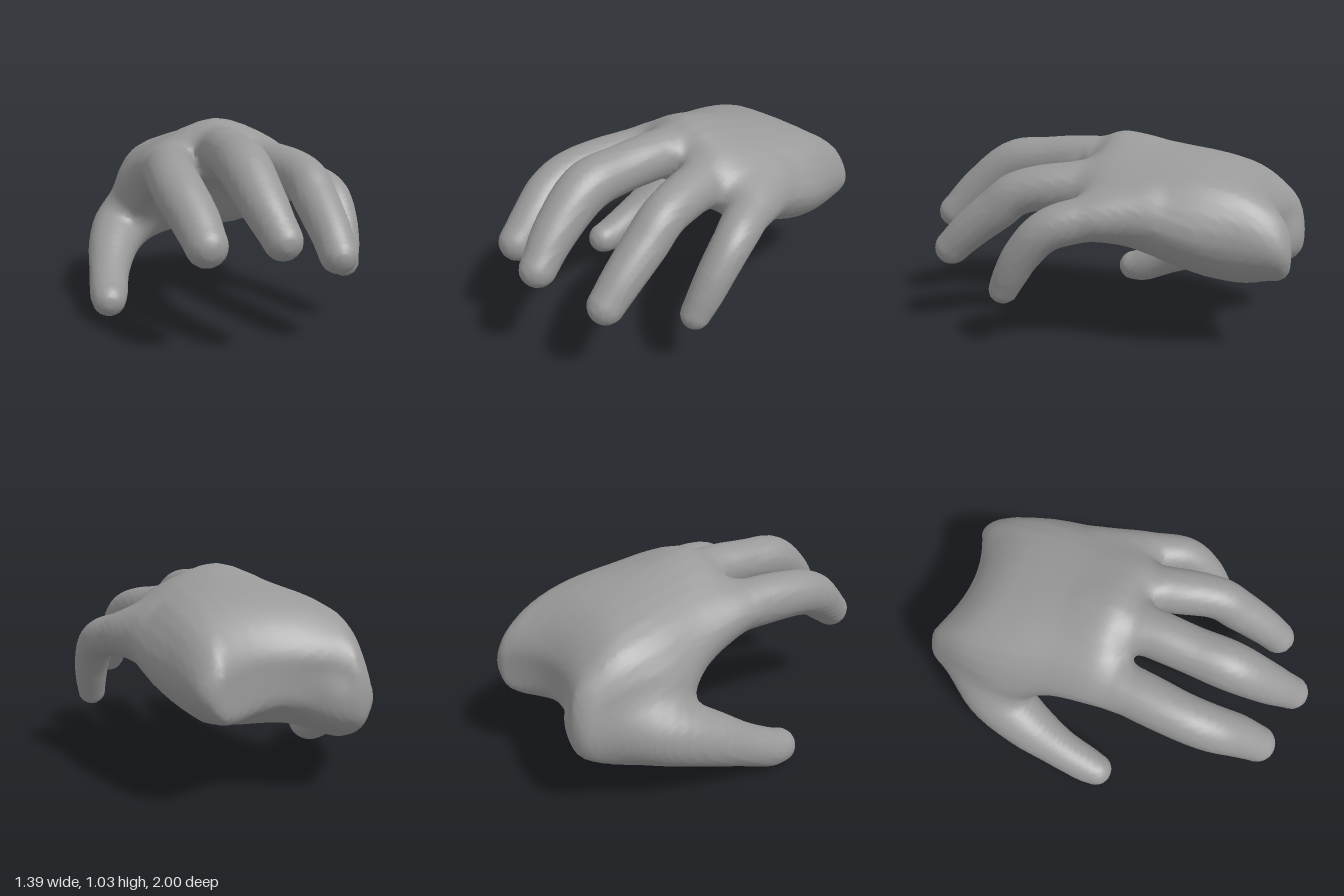
import * as THREE from 'three';

const V = (x, y, z) => new THREE.Vector3(x, y, z);

// Palm: z, then x,y around the section from little-finger edge over the back of the hand
const palmSections = [
  [-1.00, .40, .53, .32, .64, 0, .69, -.31, .63, -.40, .48, -.35, .36, 0, .44, .30, .40],
  [-0.90, .44, .55, .36, .73, 0, .80, -.35, .72, -.43, .50, -.38, .30, -.04, .39, .31, .39],
  [-0.75, .48, .58, .38, .81, 0, .88, -.37, .81, -.48, .53, -.42, .26, -.10, .32, .34, .38],
  [-0.55, .53, .61, .39, .86, 0, .94, -.37, .85, -.52, .55, -.46, .29, -.12, .42, .36, .41],
  [-0.30, .55, .68, .37, .89, 0, .99, -.33, .88, -.45, .71, -.38, .54, -.04, .63, .42, .51],
  [-0.07, .57, .68, .31, .92, 0, 1.03, -.32, .89, -.43, .77, -.35, .64, 0, .70, .42, .58],
  [0.06, .38, .74, .30, .85, 0, .94, -.33, .84, -.40, .77, -.32, .70, 0, .72, .30, .69],
];

// Digits: joints as x, y, z, radius from root to tip
const digits = {
  thumb: [[-.28, .46, -.86, .12], [-.43, .40, -.63, .17], [-.525, .31, -.42, .145],
    [-.577, .195, -.2, .112], [-.598, .11, -.03, .101], [-.605, .092, .045, .09]],
  index: [[-.26, .76, -.2, .09], [-.29, .77, .1, .127], [-.32, .755, .4, .123],
    [-.31, .70, .57, .12], [-.275, .61, .70, .112], [-.25, .515, .82, .098]],
  middle: [[0, .87, -.2, .1], [0, .872, .1, .124], [-.01, .855, .35, .122],
    [-.008, .82, .56, .127], [.025, .68, .76, .11], [.07, .54, .905, .09]],
  ring: [[.2, .80, -.2, .09], [.28, .785, .1, .12], [.35, .75, .36, .112],
    [.37, .65, .5, .11], [.385, .53, .65, .1], [.39, .43, .755, .09]],
  little: [[.4, .72, -.3, .1], [.53, .67, 0, .108], [.588, .62, .14, .1],
    [.598, .505, .25, .093], [.592, .395, .32, .085], [.58, .305, .37, .075]],
};

// Smooth union of two distances
function blend(a, b, k) {
  const h = Math.max(k - Math.abs(a - b), 0) / k;
  return Math.min(a, b) - h * h * k / 4;
}

// Smooth rings of the palm, each an outline of [x, y]
const lengthwise = Array.from({ length: 8 }, (_, k) => new THREE.CatmullRomCurve3(
  palmSections.map(s => V(s[1 + 2 * k], s[2 + 2 * k], s[0])), false, 'catmullrom', .5));
const palmRings = Array.from({ length: 31 }, (_, i) => {
  const points = lengthwise.map(l => l.getPoint(i / 30));
  const outline = new THREE.CatmullRomCurve3(points, true, 'centripetal').getPoints(32).slice(0, 32);
  return { z: points[0].z, outline: outline.map(p => [p.x, p.y]) };
});

// Signed distance to a closed outline
function outlineDistance(pts, x, y) {
  let d = Infinity, inside = false;
  for (let i = 0, j = pts.length - 1; i < pts.length; j = i++) {
    const [ax, ay] = pts[i], [bx, by] = pts[j];
    const ex = bx - ax, ey = by - ay, wx = x - ax, wy = y - ay;
    const t = Math.min(1, Math.max(0, (wx * ex + wy * ey) / (ex * ex + ey * ey)));
    d = Math.min(d, (wx - ex * t) ** 2 + (wy - ey * t) ** 2);
    if ((ay > y) !== (by > y) && x < ex * (y - ay) / ey + ax) inside = !inside;
  }
  return inside ? -Math.sqrt(d) : Math.sqrt(d);
}

function palmDistance(x, y, z) {
  // The wrist end is hollowed between its two corners
  z -= .1 * THREE.MathUtils.smoothstep(-z, .6, .88) * Math.max(0, 1 - (x / .32) ** 2);
  let i = 0;
  while (i < palmRings.length - 2 && palmRings[i + 1].z < z) i++;
  const a = palmRings[i], b = palmRings[i + 1];
  const t = Math.min(1, Math.max(0, (z - a.z) / (b.z - a.z)));
  const side = (1 - t) * outlineDistance(a.outline, x, y) + t * outlineDistance(b.outline, x, y);
  const ends = Math.max(-.995 - z, z - .07);
  return -blend(-side, -ends, .06);
}

// Short tapered links along each digit
const steps = 26;
const links = Object.values(digits).flatMap(joints => {
  const path = new THREE.CatmullRomCurve3(joints.map(j => V(j[0], j[1], j[2])), false, 'catmullrom', .5);
  const radii = new THREE.SplineCurve(joints.map((j, i) => new THREE.Vector2(i, j[3])));
  return Array.from({ length: steps }, (_, i) => {
    const u = i / steps, v = (i + 1) / steps;
    const a = path.getPoint(u), d = path.getPoint(v).sub(a);
    return { a, d, len: d.lengthSq(), ra: radii.getPoint(u).y, rb: radii.getPoint(v).y };
  });
});

function digitDistance(x, y, z) {
  let best = Infinity;
  for (const { a, d, len, ra, rb } of links) {
    const wx = x - a.x, wy = y - a.y, wz = z - a.z;
    const t = Math.min(1, Math.max(0, (wx * d.x + wy * d.y + wz * d.z) / len));
    const gap = Math.sqrt((wx - d.x * t) ** 2 + (wy - d.y * t) ** 2 + (wz - d.z * t) ** 2);
    best = Math.min(best, gap - ra - (rb - ra) * t);
  }
  return best;
}

// One continuous skin drawn over a grid where the distance changes sign
function skinGeometry(distance, min, size, step) {
  const n = size.map(s => Math.ceil(s / step)), stride = [1, n[0], n[0] * n[1]];
  const at = (i, j, k) => i + j * stride[1] + k * stride[2];
  const field = new Float32Array(n[0] * n[1] * n[2]), cell = new Int32Array(field.length);
  const each = (from, fn) => {
    for (let k = from; k < n[2] - 1; k++) for (let j = from; j < n[1] - 1; j++)
      for (let i = from; i < n[0] - 1; i++) fn([i, j, k], at(i, j, k));
  };
  field.fill(1);
  each(0, (c, g) => { field[g] = distance(...c.map((v, a) => min[a] + v * step)); });
  const pos = [], index = [];
  // One point in each cell, at the mean of its edge crossings
  each(0, (c, g) => {
    const sum = [0, 0, 0];
    let hits = 0;
    for (let a = 0; a < 3; a++) for (let m = 0; m < 4; m++) {
      const u = (a + 1) % 3, v = (a + 2) % 3, o = [0, 0, 0];
      o[u] = m & 1;
      o[v] = m >> 1;
      const p = g + at(...o), f0 = field[p], f1 = field[p + stride[a]];
      if ((f0 < 0) === (f1 < 0)) continue;
      o[a] = f0 / (f0 - f1);
      o.forEach((w, q) => { sum[q] += w; });
      hits++;
    }
    if (!hits) return;
    cell[g] = pos.length / 3;
    pos.push(...c.map((v, a) => min[a] + (v + sum[a] / hits) * step));
  });
  // One quad across each crossed grid edge
  each(1, (c, g) => {
    for (let a = 0; a < 3; a++) {
      const su = stride[(a + 1) % 3], sv = stride[(a + 2) % 3], inside = field[g] < 0;
      if (inside === (field[g + stride[a]] < 0)) continue;
      const [p, q, r, s] = [g, g - su, g - su - sv, g - sv].map(k => cell[k]);
      index.push(...(inside ? [p, q, r, p, r, s] : [p, r, q, p, s, r]));
    }
  });
  const geometry = new THREE.BufferGeometry();
  geometry.setAttribute('position', new THREE.Float32BufferAttribute(pos, 3));
  geometry.setIndex(index);
  geometry.computeVertexNormals();
  return geometry;
}

export function createModel() {
  const distance = (x, y, z) => blend(palmDistance(x, y, z), digitDistance(x, y, z), .08);
  const skin = new THREE.Mesh(
    skinGeometry(distance, [-.76, -.06, -1.07], [1.54, 1.2, 2.16], .021),
    new THREE.MeshStandardMaterial({ color: 0x999999 }));
  skin.name = 'handSkin';
  const hand = new THREE.Group();
  hand.name = 'hand';
  hand.add(skin);
  return hand;
}
